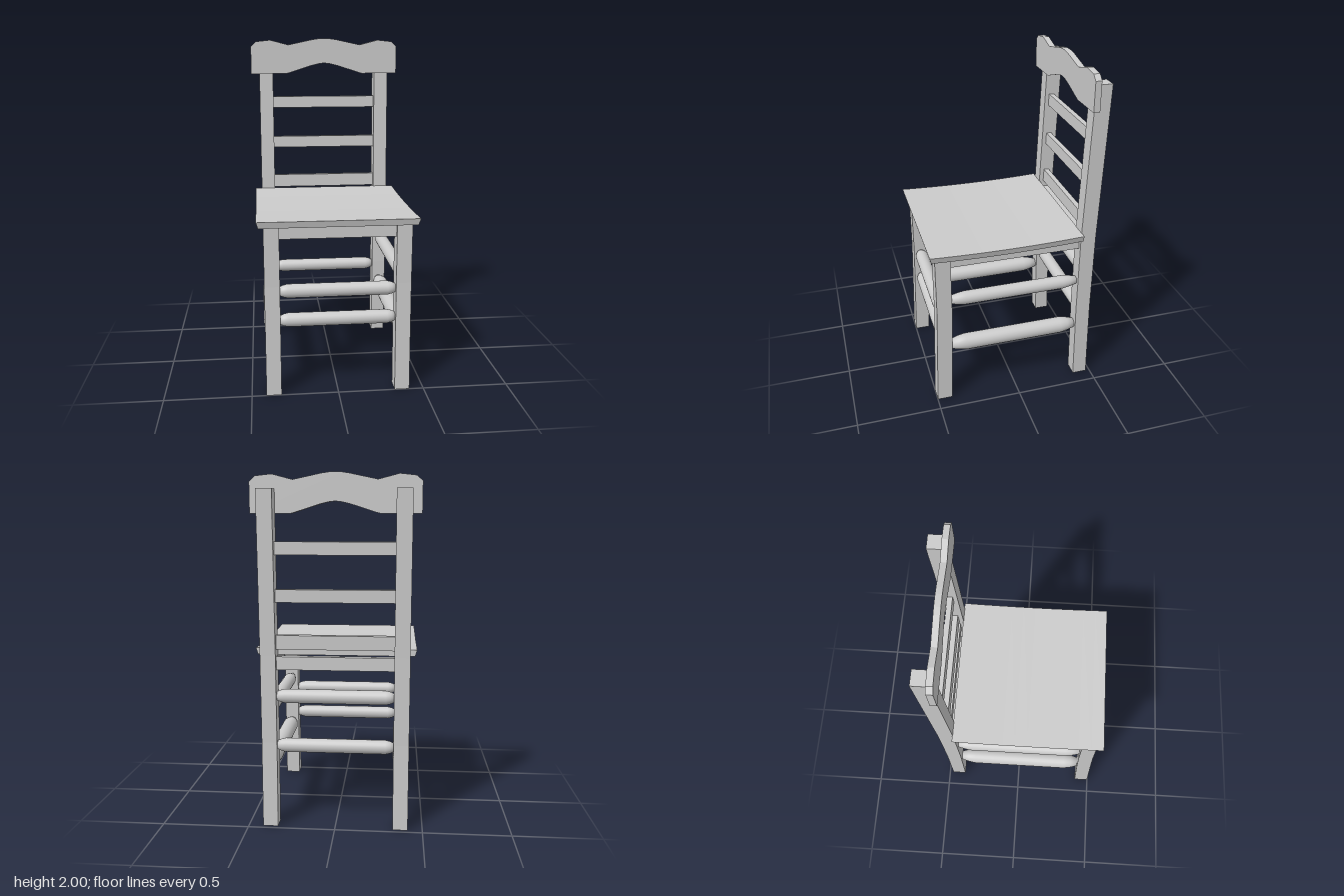
import * as THREE from 'three';

const material = new THREE.MeshStandardMaterial({ color: 0xcccccc, flatShading: true });
const smooth = new THREE.MeshStandardMaterial({ color: 0xcccccc });

export function createModel() {
  const chair = new THREE.Group();
  chair.name = 'chair';

  function add(name, geometry, x = 0, y = 0, z = 0, mat = material) {
    const mesh = new THREE.Mesh(geometry, mat);
    mesh.name = name;
    mesh.position.set(x, y, z);
    chair.add(mesh);
    return mesh;
  }

  const outline = (points) => new THREE.Shape(points.map(([a, b]) => new THREE.Vector2(a, b)));

  // Extrudes a side profile of [z, y] points across x, centred on x = 0
  function sideProfile(points, width) {
    const g = new THREE.ExtrudeGeometry(outline(points), { depth: width, bevelEnabled: false });
    return g.translate(0, 0, -width / 2).rotateY(-Math.PI / 2);
  }

  // Turned rung along y with tapered, rounded ends
  function rungGeometry(length, radius, taper) {
    const h = length / 2;
    const profile = [
      [0, -h], [radius * 0.58, -h], [radius * 0.85, -h + taper * 0.5], [radius, -h + taper],
      [radius, h - taper], [radius * 0.85, h - taper * 0.5], [radius * 0.58, h], [0, h],
    ].map(([r, y]) => new THREE.Vector2(r, y));
    return new THREE.LatheGeometry(profile, 24);
  }

  // Legs: splayed front pair, back pair leaning backwards above the seat
  const frontLeg = sideProfile([
    [0.41, 0], [0.5, 0], [0.487, 0.4], [0.48, 0.65], [0.48, 0.995],
    [0.39, 0.995], [0.39, 0.65], [0.396, 0.4],
  ], 0.087);
  const backLeg = sideProfile([
    [-0.476, 0], [-0.388, 0], [-0.382, 0.5], [-0.386, 1], [-0.42, 1.912],
    [-0.513, 1.912], [-0.478, 1], [-0.471, 0.5],
  ], 0.087);

  for (const [side, s] of [['left', 1], ['right', -1]]) {
    add(side + 'FrontLeg', frontLeg, s * 0.373);
    add(side + 'BackLeg', backLeg, s * 0.373);
    add(side + 'Apron', new THREE.BoxGeometry(0.04, 0.075, 0.78), s * 0.373, 0.957, 0.003);
    add(side + 'UpperRung', rungGeometry(0.78, 0.04, 0.09).rotateX(Math.PI / 2), s * 0.373, 0.69, 0.004, smooth);
    add(side + 'LowerRung', rungGeometry(0.78, 0.049, 0.09).rotateX(Math.PI / 2), s * 0.373, 0.374, 0.008, smooth);
  }

  // Front and back aprons and rungs
  for (const [side, z, heights] of [['front', 0.438, [0.61, 0.436]], ['back', -0.43, [0.765, 0.477]]]) {
    add(side + 'Apron', new THREE.BoxGeometry(0.67, 0.075, 0.04), 0, 0.957, z);
    heights.forEach((y, i) => {
      add(side + ['Upper', 'Lower'][i] + 'Rung', rungGeometry(0.67, 0.04, 0.05).rotateZ(Math.PI / 2), 0, y, z, smooth);
    });
  }

  // Seat: slightly dished from front to back, underside a little narrower
  const seat = new THREE.BoxGeometry(0.91, 0.038, 0.903, 1, 1, 12);
  const p = seat.attributes.position;
  for (let i = 0; i < p.count; i++) {
    const t = p.getZ(i) / 0.4515;
    if (p.getY(i) < 0) {
      p.setX(i, p.getX(i) * 0.975);
      if (t > 0.99) p.setZ(i, p.getZ(i) - 0.01);
    }
    p.setY(i, p.getY(i) - 0.011 * (1 - t * t));
  }
  seat.computeVertexNormals();
  add('seat', seat, 0, 1.014, 0.0615);

  // Back slats follow the lean of the back legs
  for (const [name, y, height] of [['lowerSlat', 1.075, 0.08], ['middleSlat', 1.335, 0.072], ['upperSlat', 1.595, 0.072]]) {
    const slat = add(name, new THREE.BoxGeometry(0.67, height, 0.032), 0, y, -0.429 - (y - 1) * 0.034);
    slat.rotation.x = -0.037;
  }

  // Scalloped crest rail, mirrored about the centre
  const topEdge = [[0.468, 1.78], [0.468, 1.95], [0.436, 1.98], [0.345, 1.99], [0.23, 1.96], [0.075, 1.993], [0.035, 1.999]];
  const bottomEdge = [[0.035, 1.842], [0.085, 1.83], [0.225, 1.785], [0.245, 1.78]];
  const mirrored = (points) => points.map(([x, y]) => [-x, y]).reverse();
  const crest = outline([
    ...topEdge, [0, 2], ...mirrored(topEdge),
    ...mirrored(bottomEdge), [0, 1.846], ...bottomEdge,
  ]);
  add('crestRail', new THREE.ExtrudeGeometry(crest, { depth: 0.036, bevelEnabled: false }), 0, 0, -0.425);

  return chair;
}
